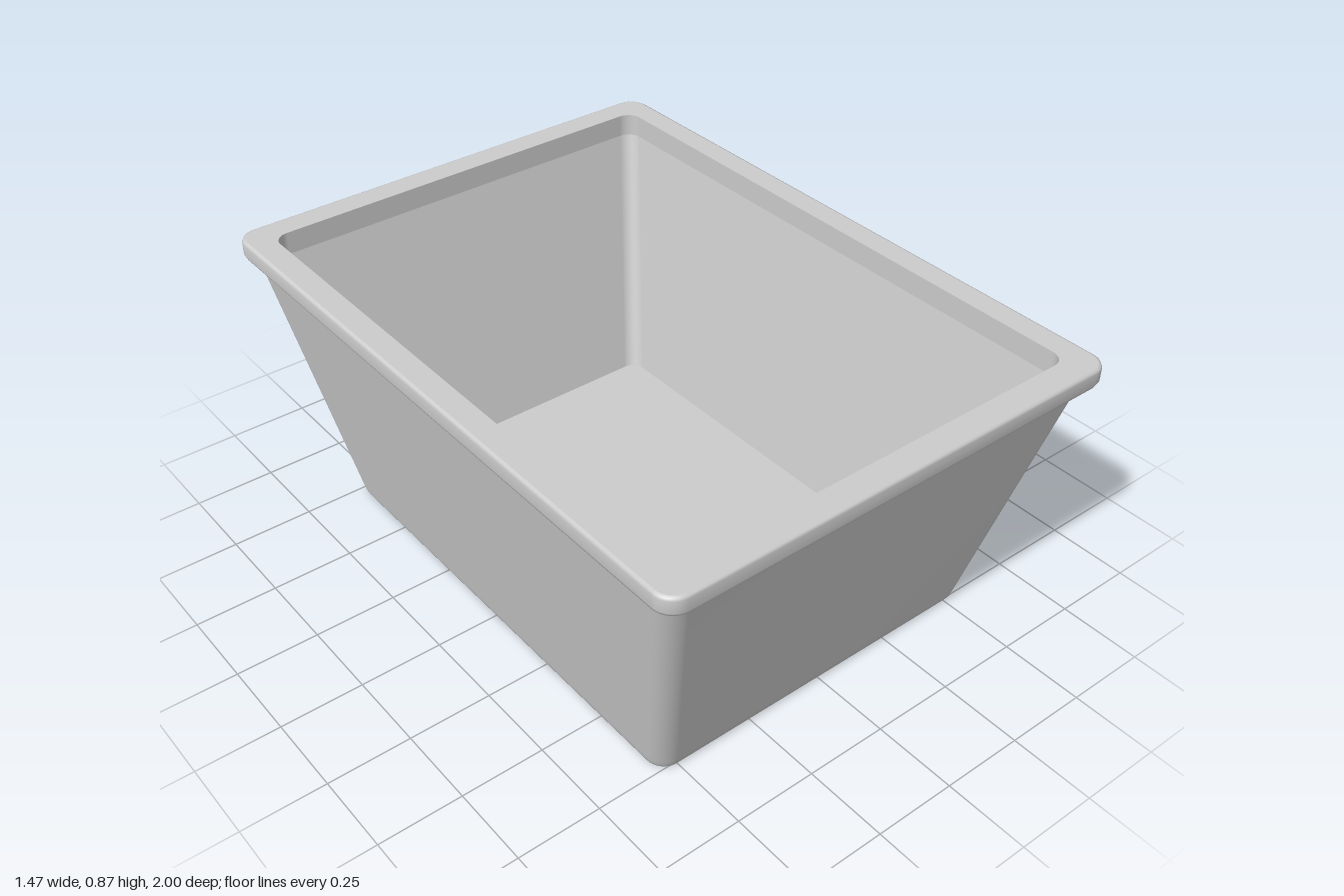
import * as THREE from 'three';

const CORNER_STEPS = 10;

// Points of one rounded-rectangle ring: half width, half depth, corner radius, height
function ring([hx, hz, r, y]) {
  const points = [];
  for (let c = 0; c < 4; c++) {
    const sx = c === 0 || c === 3 ? 1 : -1;
    const sz = c < 2 ? 1 : -1;
    for (let i = 0; i <= CORNER_STEPS; i++) {
      const a = (c + i / CORNER_STEPS) * Math.PI / 2;
      points.push(sx * (hx - r) + r * Math.cos(a), y, sz * (hz - r) + r * Math.sin(a));
    }
  }
  return points;
}

// Smooth skin through a run of rings; separate skins meet in sharp edges
function loft(name, rings, material) {
  const n = 4 * (CORNER_STEPS + 1);
  const index = [];
  for (let k = 0; k < rings.length - 1; k++) {
    for (let i = 0; i < n; i++) {
      const j = (i + 1) % n;
      const a = k * n + i, b = k * n + j, c = a + n, d = b + n;
      index.push(a, c, b, b, c, d);
    }
  }
  const geometry = new THREE.BufferGeometry();
  geometry.setAttribute('position', new THREE.Float32BufferAttribute(rings.flatMap(ring), 3));
  geometry.setIndex(index);
  geometry.computeVertexNormals();
  const mesh = new THREE.Mesh(geometry, material);
  mesh.name = name;
  return mesh;
}

export function createModel() {
  const group = new THREE.Group();
  group.name = 'taperedTub';
  const material = new THREE.MeshStandardMaterial({ color: 0xcccccc, side: THREE.DoubleSide });

  // Key rings shared between neighbouring skins
  const base = [0.55, 0.75, 0.05, 0];
  const rimTopOuter = [0.725, 0.99, 0.05, 0.87];
  const rimTopInner = [0.655, 0.915, 0.045, 0.87];
  const lipBottom = [0.655, 0.915, 0.045, 0.8];
  const floorEdge = [0.515, 0.72, 0.045, 0.04];

  group.add(
    loft('underside', [[0, 0, 0, 0], base], material),
    // Tapered wall with a small rounded foot and a cove under the rim
    loft('outerWall', [
      base,
      [0.557, 0.757, 0.055, 0.003],
      [0.561, 0.762, 0.058, 0.012],
      [0.565, 0.767, 0.058, 0.03],
      [0.7, 0.953, 0.06, 0.77],
      [0.704, 0.959, 0.06, 0.79],
      [0.708, 0.964, 0.06, 0.798],
      [0.715, 0.972, 0.06, 0.803],
    ], material),
    // Rounded rim band
    loft('rim', [
      [0.715, 0.972, 0.06, 0.803],
      [0.724, 0.986, 0.06, 0.807],
      [0.731, 0.995, 0.06, 0.814],
      [0.735, 1, 0.06, 0.825],
      [0.735, 1, 0.06, 0.86],
      [0.732, 0.997, 0.057, 0.867],
      rimTopOuter,
    ], material),
    loft('rimTop', [rimTopOuter, rimTopInner], material),
    loft('innerLip', [rimTopInner, lipBottom], material),
    loft('innerWall', [lipBottom, floorEdge], material),
    loft('floor', [floorEdge, [0, 0, 0, 0.04]], material),
  );
  return group;
}
